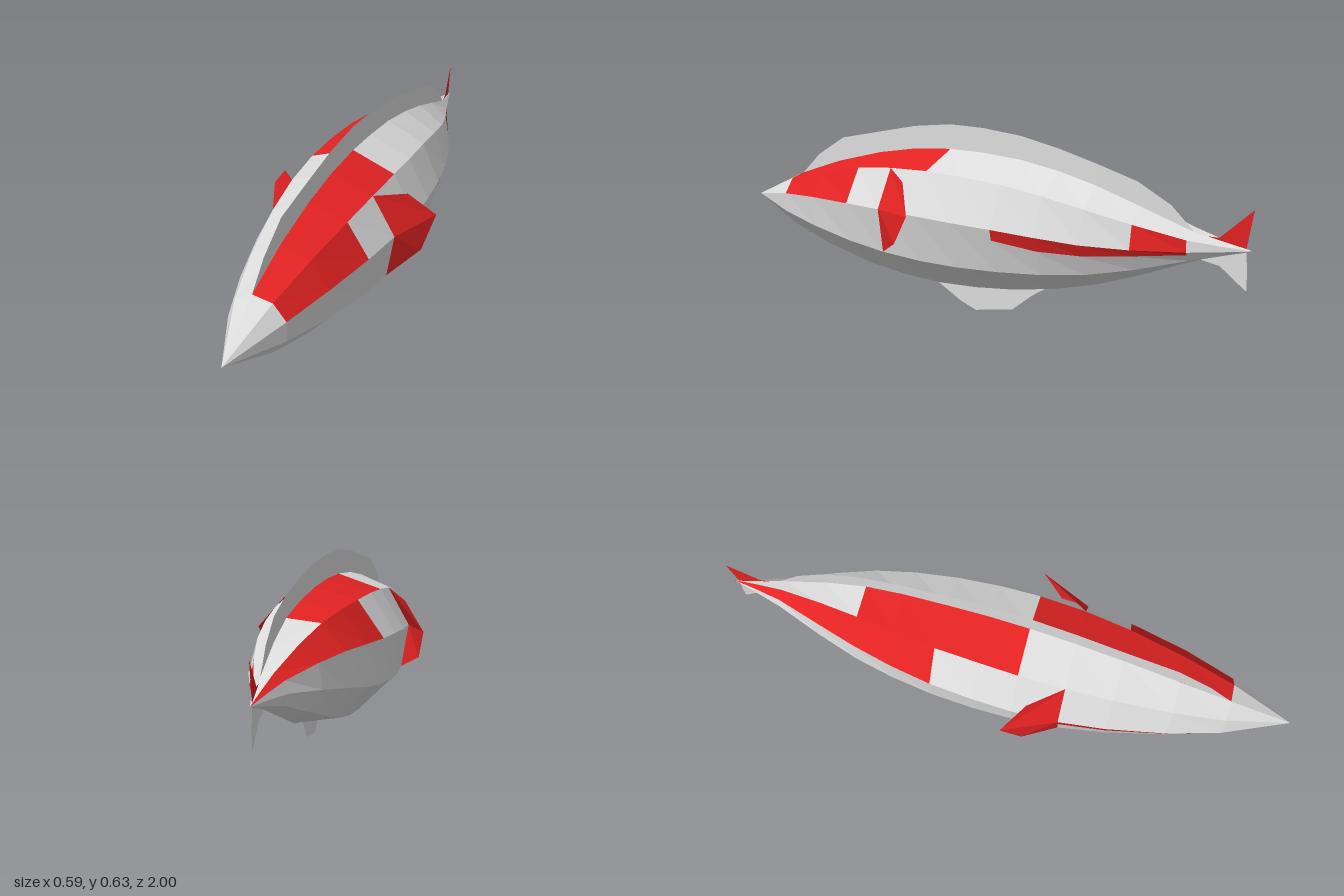
import * as THREE from 'three';

const AXIS_Y = 0.305, SIDES = 9;
// Body rings from nose to tail: z, radius, twist in degrees
const RINGS = [
  [1, 0, -10], [0.78, 0.1, -8], [0.6, 0.157, -5], [0.4, 0.203, -2], [0.24, 0.227, 0],
  [0.08, 0.237, 2], [-0.06, 0.234, 4], [-0.21, 0.222, 6], [-0.36, 0.198, 9.5], [-0.5, 0.165, 14],
  [-0.65, 0.115, 19], [-0.81, 0.055, 28], [-0.9, 0.028, 30], [-1, 0, 30],
];

// Point on ring i; k counts ridges from the top towards +x and may be fractional
function ringPoint(i, k) {
  const [z, r, twist] = RINGS[i];
  const corner = (n) => {
    const a = THREE.MathUtils.degToRad(n * 360 / SIDES + twist);
    return new THREE.Vector3(Math.sin(a) * r * 0.97, AXIS_Y + Math.cos(a) * r, z);
  };
  const base = Math.floor(k);
  return corner(base).lerp(corner(base + 1), k - base);
}

// Point on ridge k at any z
function ridgeAt(z, k) {
  let i = 0;
  while (i < RINGS.length - 2 && RINGS[i + 1][0] > z) i++;
  const t = (RINGS[i][0] - z) / (RINGS[i][0] - RINGS[i + 1][0]);
  return ringPoint(i, k).lerp(ringPoint(i + 1, k), t);
}

function facesMesh(name, points, material) {
  const geo = new THREE.BufferGeometry().setFromPoints(points);
  geo.computeVertexNormals();
  const mesh = new THREE.Mesh(geo, material);
  mesh.name = name;
  return mesh;
}

const quad = (list, a, b, c, d) => list.push(a, b, c, a, c, d);

// Red patches: panel, front z, back z
const PATCHES = [
  [0, 0.78, 0.08], [1, 0.78, 0.4], [1, -0.65, -0.81],
  [8, 0.08, -0.5], [7, -0.21, -1],
];

// Share of a panel, next to its upper ridge, covered by a side stripe at z
function stripeShare(panel, z) {
  if (panel === 2) return z > -0.3 ? 0.25 : z > -0.6 ? 0.36 : 0.3;
  return 0.36;
}

function buildBody(white, red) {
  const whiteFaces = [], redFaces = [];
  const strip = (list, i, f0, f1, b0, b1) => quad(list,
    ringPoint(i, f0), ringPoint(i, f1), ringPoint(i + 1, b1), ringPoint(i + 1, b0));
  for (let i = 0; i < RINGS.length - 1; i++) {
    const z0 = RINGS[i][0], z1 = RINGS[i + 1][0];
    for (let k = 0; k < SIDES; k++) {
      const f = stripeShare(k, z0), b = stripeShare(k, z1);
      if (k === 2 && z0 <= -0.21 && z1 >= -0.81) {
        strip(redFaces, i, 2, 2 + f, 2, 2 + b);
        strip(whiteFaces, i, 2 + f, 3, 2 + b, 3);
      } else if (k === 6 && z0 <= 0.78 && z1 >= 0.24) {
        strip(redFaces, i, 7 - f, 7, 7 - b, 7);
        strip(whiteFaces, i, 6, 7 - f, 6, 7 - b);
      } else {
        const isRed = PATCHES.some(([p, a, e]) => p === k && z0 <= a && z1 >= e);
        strip(isRed ? redFaces : whiteFaces, i, k, k + 1, k, k + 1);
      }
    }
  }
  const body = new THREE.Group();
  body.name = 'body';
  body.add(facesMesh('bodyWhite', whiteFaces, white), facesMesh('bodyPatches', redFaces, red));
  return body;
}

// Thin sheet rising from a ridge to an outline of [z, y]
function ridgeFin(name, ridge, outline, material) {
  const faces = [];
  for (let i = 0; i < outline.length - 1; i++) {
    const [a, b] = [outline[i], outline[i + 1]].map(([z, y]) => {
      const root = ridgeAt(z, ridge);
      return { root, edge: new THREE.Vector3(root.x, y, z) };
    });
    quad(faces, a.root, a.edge, b.edge, b.root);
  }
  return facesMesh(name, faces, material);
}

// Side fin hinged on three neighbouring ridges
function sideFin(name, side, material) {
  const roots = (side > 0 ? [1, 2, 3] : [8, 7, 6]).map((k) => ringPoint(4, k));
  const tips = [[0.22, 0.447, 0.13], [0.297, 0.348, 0.06], [0.271, 0.246, 0.13]]
    .map(([x, y, z]) => new THREE.Vector3(side * x, y, z));
  const faces = [];
  for (let i = 0; i < 2; i++) quad(faces, roots[i], roots[i + 1], tips[i + 1], tips[i]);
  return facesMesh(name, faces, material);
}

// Tail lobe from an outline of [x, y, z] fanned from its first point
function tailLobe(name, outline, material) {
  const p = outline.map((v) => new THREE.Vector3(...v));
  const faces = [];
  for (let i = 1; i < p.length - 1; i++) faces.push(p[0], p[i], p[i + 1]);
  return facesMesh(name, faces, material);
}

export function createModel() {
  const make = (name, color) => {
    const m = new THREE.MeshStandardMaterial({ color, flatShading: true, side: THREE.DoubleSide });
    m.name = name;
    return m;
  };
  const white = make('white', 0xdcdcdc);
  const red = make('red', 0xe32222);

  const model = new THREE.Group();
  model.name = 'fish';
  model.add(buildBody(white, red));

  // Fins along the back and belly
  model.add(ridgeFin('dorsalFin', 0, [
    [0.78, 0.405], [0.7, 0.48], [0.58, 0.55], [0.4, 0.583], [0.24, 0.612], [0.08, 0.627], [-0.06, 0.622],
    [-0.21, 0.605], [-0.36, 0.573], [-0.5, 0.535], [-0.64, 0.49], [-0.75, 0.425], [-0.82, 0.354],
  ], white));
  model.add(ridgeFin('bellyFin', 4, [
    [0.09, 0.082], [0, 0.025], [-0.06, 0], [-0.2, 0.02], [-0.27, 0.075], [-0.35, 0.125],
  ], white));

  // Paired side fins
  model.add(sideFin('leftFin', 1, red), sideFin('rightFin', -1, red));

  // Forked tail
  model.add(tailLobe('upperTail', [
    [0, 0.31, -0.98], [0, 0.305, -0.87], [0.02, 0.34, -0.83], [0.012, 0.338, -0.9], [0, 0.43, -1],
  ], red));
  model.add(tailLobe('lowerTail', [
    [0, 0.305, -0.98], [0, 0.305, -0.87], [0.01, 0.265, -0.83], [0.005, 0.25, -0.9],
    [0, 0.18, -0.985], [0, 0.235, -0.985],
  ], white));
  return model;
}
